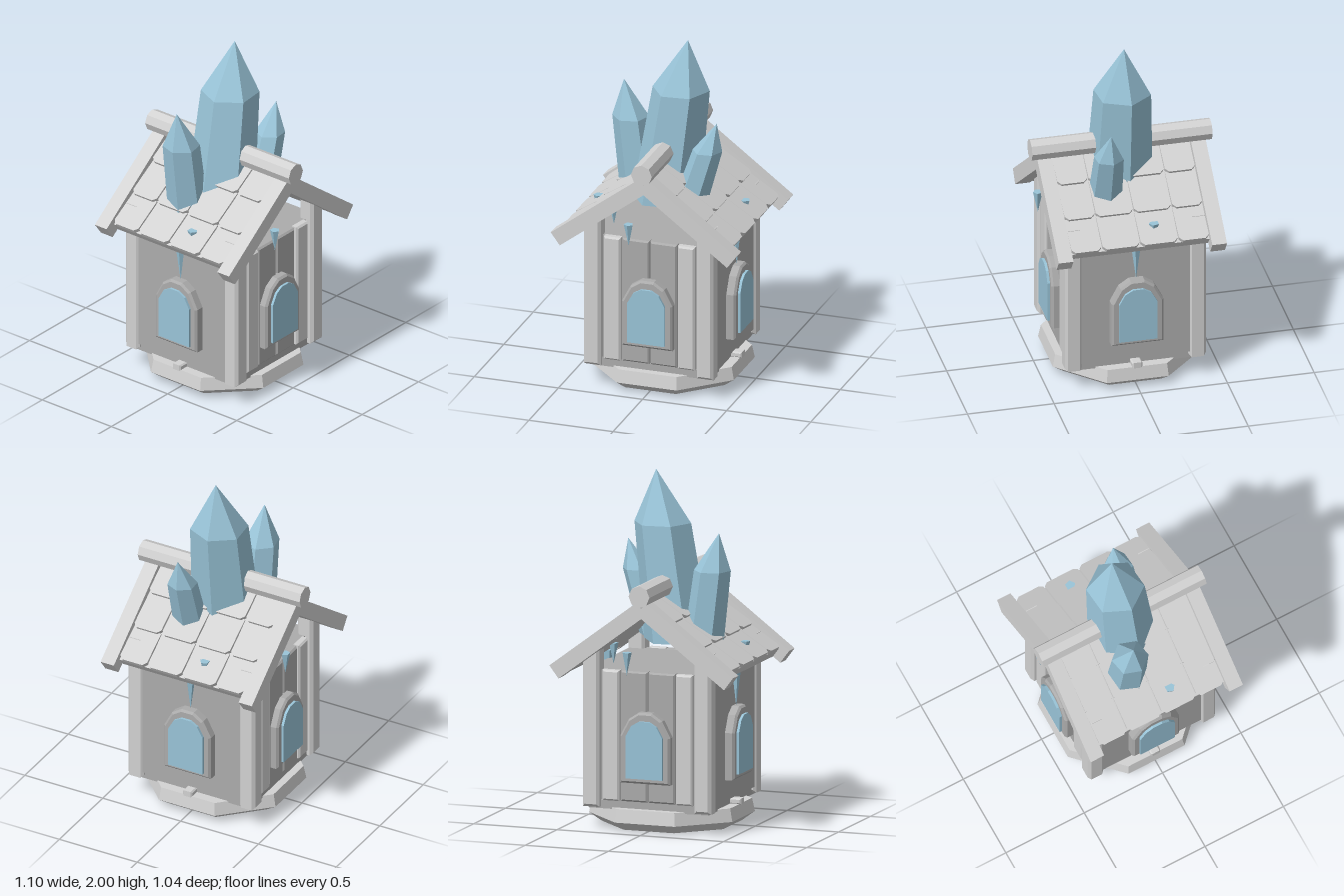
import * as THREE from 'three';

const mat = (name, color) => {
  const m = new THREE.MeshStandardMaterial({ color });
  m.name = name;
  return m;
};

export function createModel() {
  const light = mat('light stone', 0xd2d2d2);
  const dark = mat('dark stone', 0xacacac);
  const blue = mat('ice blue', 0x99c4d8);
  const model = new THREE.Group();

  const add = (parent, name, geo, material, x = 0, y = 0, z = 0) => {
    const m = new THREE.Mesh(geo, material);
    m.name = name;
    m.position.set(x, y, z);
    parent.add(m);
    return m;
  };
  const group = (parent, name) => {
    const g = new THREE.Group();
    g.name = name;
    parent.add(g);
    return g;
  };
  // Faceted copy of an indexed geometry
  const faceted = (geo) => {
    const g = geo.toNonIndexed();
    g.computeVertexNormals();
    return g;
  };
  const polygon = (pts) => new THREE.Shape(pts.map(([x, y]) => new THREE.Vector2(x, y)));
  // Plate with chamfered edges, from z = 0 to z = depth
  const plate = (pts, depth, c) => {
    const g = new THREE.ExtrudeGeometry(polygon(pts), {
      depth: depth - 2 * c, bevelEnabled: c > 0, bevelSize: c,
      bevelThickness: c, bevelOffset: -c, bevelSegments: 1,
    });
    return g.translate(0, 0, c);
  };
  const chamferBox = (w, h, d, c) => {
    const x = w / 2, y = h / 2;
    return plate([[-x, -y], [x, -y], [x, y], [-x, y]], d, c).translate(0, 0, -d / 2);
  };

  // Octagonal base
  const k = 1 / Math.cos(Math.PI / 8);
  const profile = [[0, 0], [0.365, 0], [0.43, 0.05], [0.415, 0.125], [0, 0.125]]
    .map(([r, y]) => new THREE.Vector2(r * k, y));
  add(model, 'base', faceted(new THREE.LatheGeometry(profile, 8, Math.PI / 8)), light);

  // Walls and plinth
  add(model, 'walls', new THREE.BoxGeometry(0.75, 0.745, 0.72), dark, 0, 0.5325, 0);
  add(model, 'plinth', new THREE.BoxGeometry(0.72, 0.05, 0.74), dark, 0, 0.14, 0);

  // Corner posts
  for (const x of [-0.335, 0.335]) {
    for (const z of [-0.357, 0.357]) {
      add(model, 'cornerPost', chamferBox(0.1, 0.91, 0.1, 0.016), light, x, 0.58, z);
    }
  }

  // Front and back planks, and the small nubs below the side walls
  for (const s of [-1, 1]) {
    for (const t of [-1, 1]) {
      add(model, 'outerPlank', chamferBox(0.1, 0.745, 0.05, 0.01), light, t * 0.22, 0.5375, s * 0.367);
      add(model, 'innerPlank', chamferBox(0.16, 0.745, 0.05, 0.01), dark, t * 0.083, 0.5375, s * 0.357);
    }
    add(model, 'sideNub', chamferBox(0.07, 0.035, 0.06, 0.008), light, s * 0.39, 0.139, 0);
  }

  // Arched windows on all four walls
  const arch = (w, y0, y1, w2, y2, y3) =>
    [[-w, y0], [w, y0], [w, y1], [w2, y2], [w2 * 0.4, y3], [-w2 * 0.4, y3], [-w2, y2], [-w, y1]];
  for (let i = 0; i < 4; i++) {
    const win = group(model, 'window');
    win.rotation.y = i * Math.PI / 2;
    add(win, 'windowFrame', plate(arch(0.15, 0.28, 0.55, 0.1, 0.645, 0.685), 0.07, 0.012), dark, 0, 0, 0.36);
    add(win, 'windowPane', plate(arch(0.11, 0.31, 0.55, 0.075, 0.612, 0.638), 0.025, 0), blue, 0, 0, 0.42);
  }

  // Roof halves: inside each, x runs down the slope and y points out of it
  const columns = [-0.4, -0.22, 0, 0.22, 0.4];
  const rows = [0, 0.179, 0.398, 0.604];
  for (const turn of [0, Math.PI]) {
    const half = group(model, 'roofHalf');
    half.rotation.y = turn;
    const slope = group(half, 'roofSlope');
    slope.position.y = 1.29;
    slope.rotation.z = -Math.atan(0.75);
    add(slope, 'roofSlab', new THREE.BoxGeometry(0.6, 0.055, 0.8), light, 0.3, -0.0175, 0);
    for (const z of [-0.443, 0.443]) {
      add(slope, 'bargeBoard', new THREE.BoxGeometry(0.655, 0.09, 0.085), light, 0.3275, 0, z);
    }
    for (let r = 0; r < 3; r++) {
      const len = rows[r + 1] - rows[r] + 0.01, c = 0.022;
      for (let j = 0; j < 4; j++) {
        const w = (columns[j + 1] - columns[j]) / 2 - 0.004;
        const tile = plate([[-len, -w], [-c, -w], [0, c - w], [0, w - c], [-c, w], [-len, w]], 0.028, 0);
        tile.rotateX(-Math.PI / 2);
        add(slope, 'roofTile', tile, light, rows[r + 1], 0.008, (columns[j] + columns[j + 1]) / 2)
          .rotation.z = 0.08;
      }
    }
  }

  // Ridge beam
  const ridge = faceted(new THREE.CylinderGeometry(0.0625, 0.0625, 1.04, 8));
  add(model, 'ridgeBeam', ridge.rotateX(Math.PI / 2), light, 0, 1.365, 0);

  // Crystals: level rings [x, y, z, radius], leaning towards the tip
  const crystal = (name, rings, turn) => {
    const sides = 6, pos = [];
    const pt = ([x, y, z, r], i) => {
      const a = turn + i / sides * Math.PI * 2;
      return [x + r * Math.cos(a), y, z - r * Math.sin(a)];
    };
    for (let i = 0; i < sides; i++) {
      const [b, s, t] = rings;
      const b0 = pt(b, i), b1 = pt(b, i + 1), s0 = pt(s, i), s1 = pt(s, i + 1);
      pos.push(...b0, ...b1, ...s1, ...b0, ...s1, ...s0);
      pos.push(...s0, ...s1, ...t.slice(0, 3));
      pos.push(...b1, ...b0, ...b.slice(0, 3));
    }
    const g = new THREE.BufferGeometry();
    g.setAttribute('position', new THREE.Float32BufferAttribute(pos, 3));
    g.computeVertexNormals();
    add(model, name, g, blue);
  };
  crystal('largeCrystal', [[-0.035, 1.035, 0, 0.195], [0.055, 1.7, 0, 0.165], [0.095, 2, 0, 0]], 0.1);
  crystal('mediumCrystal', [[-0.215, 1.0, -0.08, 0.115], [-0.275, 1.46, -0.085, 0.105], [-0.315, 1.675, -0.085, 0]], 0.2);
  crystal('smallCrystal', [[0.14, 1.035, 0.125, 0.1], [0.255, 1.4, 0.125, 0.085], [0.31, 1.57, 0.125, 0]], 0.1);

  // Icicles, each with a twin turned half way round: x, top y, z, radius, length
  const icicles = [
    [-0.1, 1.03, 0.45, 0.028, 0.13],
    [0.385, 0.95, 0, 0.036, 0.27],
    [0.4, 1.033, -0.1, 0.03, 0.1],
    [0.275, 1.03, -0.2, 0.028, 0.12],
  ];
  for (const [x, y, z, r, h] of icicles) {
    for (const s of [-1, 1]) {
      add(model, 'icicle', faceted(new THREE.CylinderGeometry(r, 0, h, 5)), blue, s * x, y - h / 2, s * z);
    }
  }

  return model;
}
